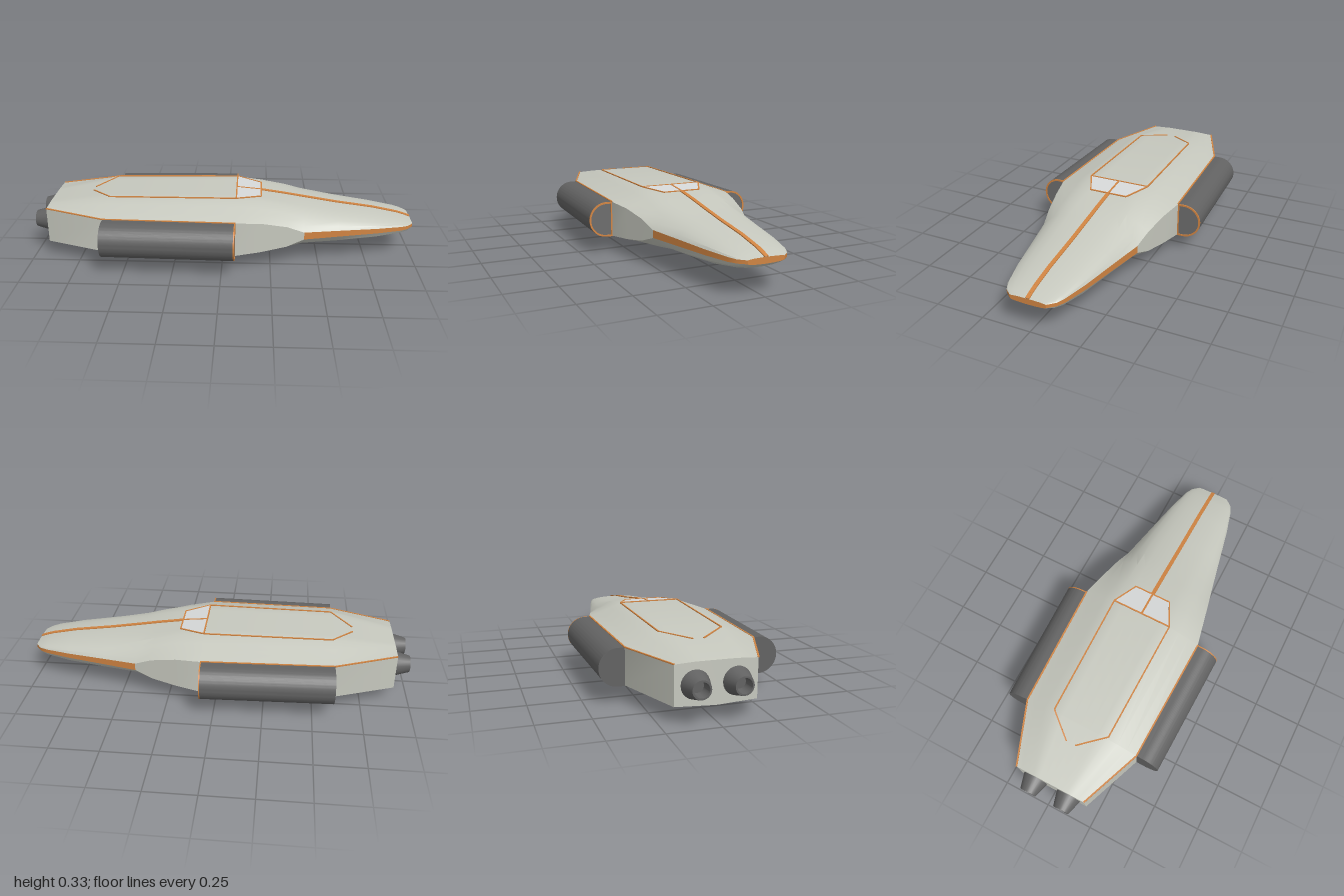
import * as THREE from 'three';
import { toCreasedNormals } from 'three/addons/utils/BufferGeometryUtils.js';

const mat = (name, color, side = THREE.FrontSide) => {
  const m = new THREE.MeshStandardMaterial({ color, side });
  m.name = name;
  return m;
};

// Hull stations: x, half width, keel y, lower chine y, upper chine y, roof y, roundness
const STATIONS = [
  [-0.92, 0.19, 0.07, 0.08, 0.265, 0.27, 0],
  [-0.6, 0.315, 0.055, 0.085, 0.265, 0.323, 0],
  [0.07, 0.335, 0.0, 0.085, 0.265, 0.328, 0],
  [0.2, 0.307, 0.018, 0.095, 0.253, 0.316, 0.12],
  [0.33, 0.28, 0.033, 0.115, 0.225, 0.297, 0.4],
  [0.42, 0.26, 0.043, 0.148, 0.187, 0.282, 0.6],
  [0.6, 0.222, 0.064, 0.15, 0.183, 0.253, 0.8],
  [0.8, 0.18, 0.087, 0.152, 0.178, 0.226, 0.95],
  [0.93, 0.145, 0.113, 0.154, 0.175, 0.2, 1],
  [0.97, 0.125, 0.127, 0.155, 0.173, 0.188, 1],
  [1.0, 0.09, 0.147, 0.155, 0.172, 0.177, 1],
];
const LOW = 4, UP = 6, STRIPE_FROM = 5;

// Closed cross-section: keel, chines, roof, then mirrored back to the keel
function section([x, w, yb, yl, yu, yt, round]) {
  const half = [], mix = THREE.MathUtils.lerp;
  for (let i = 0; i <= LOW; i++) {
    const t = i / LOW, a = t * Math.PI / 2;
    half.push([mix(w * t, w * Math.sin(a), round),
      mix(mix(yb, yl, t), yl - (yl - yb) * Math.cos(a), round)]);
  }
  for (let i = 0; i <= UP; i++) {
    const t = i / UP, a = t * Math.PI / 2, ridge = 0.49 * w;
    const z = t < 0.5 ? mix(w, ridge, t * 2) : mix(ridge, 0, t * 2 - 1);
    const y = t < 0.5 ? mix(yu, yt, t * 2) : yt;
    half.push([mix(z, w * Math.cos(a), round), mix(y, yu + (yt - yu) * Math.sin(a), round)]);
  }
  const other = half.slice(1, -1).reverse().map(([z, y]) => [-z, y]);
  return [...half, ...other].map(([z, y]) => [x, y, z]);
}

function fromTriangles(pos, crease) {
  const g = new THREE.BufferGeometry();
  g.setAttribute('position', new THREE.Float32BufferAttribute(pos.flat(), 3));
  return toCreasedNormals(g, crease);
}

export function createModel() {
  const hullMat = mat('hull grey', 0xc6c8be);
  const trimMat = mat('orange trim', 0xd08442, THREE.DoubleSide);
  const darkMat = mat('dark metal', 0x626262, THREE.DoubleSide);
  const intakeMat = mat('intake grey', 0x6c6c6c);
  const glassMat = mat('canopy glass', 0xd6d8d8, THREE.DoubleSide);

  const model = new THREE.Group();
  const add = (name, geo, material, parent = model) => {
    const m = new THREE.Mesh(geo, material);
    m.name = name;
    parent.add(m);
    return m;
  };
  // Thin flat bar from p to q
  const bar = (name, p, q, width, thick = 0.005) => {
    const a = new THREE.Vector3(...p), b = new THREE.Vector3(...q);
    const m = add(name, new THREE.BoxGeometry(width, thick, a.distanceTo(b)), trimMat);
    m.position.copy(a).lerp(b, 0.5);
    m.lookAt(b);
  };

  // Lofted hull, with the forward side band as a separate coloured face strip
  const rings = STATIONS.map(section);
  const n = rings[0].length, hull = [], band = [];
  for (let s = 0; s < rings.length - 1; s++) {
    for (let i = 0; i < n; i++) {
      const j = (i + 1) % n;
      const a = rings[s][i], b = rings[s][j], c = rings[s + 1][j], d = rings[s + 1][i];
      const isSide = i === LOW || j === n - LOW;
      (isSide && s >= STRIPE_FROM ? band : hull).push(a, d, c, a, c, b);
    }
  }
  const last = rings[rings.length - 1];
  for (let i = 0; i < n; i++) {
    const j = (i + 1) % n;
    hull.push([-0.92, 0.17, 0], rings[0][i], rings[0][j]);
    band.push([1, 0.163, 0], last[j], last[i]);
  }
  add('hull', fromTriangles(hull, 0.42), hullMat);
  add('sideStripe', fromTriangles(band, 0.6), trimMat);

  // Stripe along the nose centreline
  for (let s = 2; s < STATIONS.length - 1; s++) {
    const p = STATIONS[s], q = STATIONS[s + 1];
    bar('noseStripe', [p[0], p[5] + 0.002, 0], [q[0], q[5] + 0.002, 0], s === 2 ? 0.01 : 0.02);
  }

  // Canopy window
  const A = [0.07, 0.331, 0.163], B = [0.07, 0.331, -0.163];
  const C = [0.2, 0.319, -0.1], D = [0.2, 0.319, 0.1];
  add('canopyWindow', fromTriangles([A, D, C, A, C, B], 0.1), glassMat);
  bar('canopyRearTrim', A, B, 0.007);
  bar('canopyFrontTrim', C, D, 0.007);

  for (const side of [1, -1]) {
    // Roof panel outline
    const outline = [[0.2, 0.319, 0.1], [0.07, 0.33, 0.163], [-0.59, 0.325, 0.154], [-0.7, 0.308, 0.025]];
    for (let i = 0; i < 3; i++) {
      const [p, q] = [outline[i], outline[i + 1]].map(([x, y, z]) => [x, y, z * side]);
      bar('roofPanelTrim', p, q, 0.007);
    }
    // Upper chine trim
    for (let s = 0; s < 2; s++) {
      const [p, q] = [STATIONS[s], STATIONS[s + 1]].map((k) => [k[0], k[4] + 0.001, k[1] * side]);
      bar('chineTrim', p, q, 0.008);
    }

    // D-shaped side pod, flat against the hull, in the pod's own frame
    const dShape = (inset) => {
      const r = 0.091 - inset, s = new THREE.Shape();
      s.moveTo(inset, -r);
      s.lineTo(0.033, -r);
      s.absarc(0.033, 0, r, -Math.PI / 2, Math.PI / 2, false);
      s.lineTo(inset, r);
      s.closePath();
      return s;
    };
    // Extrudes a shape from x0 to x1, with the shape's x pointing outwards
    const along = (shape, x0, x1) => {
      const g = new THREE.ExtrudeGeometry(shape, { depth: x1 - x0, bevelEnabled: false, curveSegments: 20 });
      g.rotateY(side > 0 ? -Math.PI / 2 : Math.PI / 2);
      g.translate(side > 0 ? x1 : x0, 0, 0);
      return toCreasedNormals(g, 0.5);
    };
    const pod = new THREE.Group();
    pod.name = side > 0 ? 'leftPod' : 'rightPod';
    pod.position.set(0.07, 0.174, 0.333 * side);
    pod.rotation.y = -0.028 * side;
    model.add(pod);
    add('podBody', along(dShape(0), -0.67, -0.006), darkMat, pod);
    const rim = dShape(0);
    rim.holes.push(dShape(0.009));
    add('intakeRim', along(rim, -0.006, 0), trimMat, pod);
    add('intakeFace', along(dShape(0.009), -0.006, -0.003), intakeMat, pod);

    // Hollow engine nozzle
    const profile = [[0.066, 0], [0.043, 0.08], [0.035, 0.08], [0.03, 0.02], [0, 0.02]]
      .map(([r, y]) => new THREE.Vector2(r, y));
    const nozzle = add('engineNozzle', toCreasedNormals(new THREE.LatheGeometry(profile, 24), 0.5), darkMat);
    nozzle.rotation.z = Math.PI / 2;
    nozzle.position.set(-0.92, 0.17, 0.095 * side);
  }
  return model;
}
